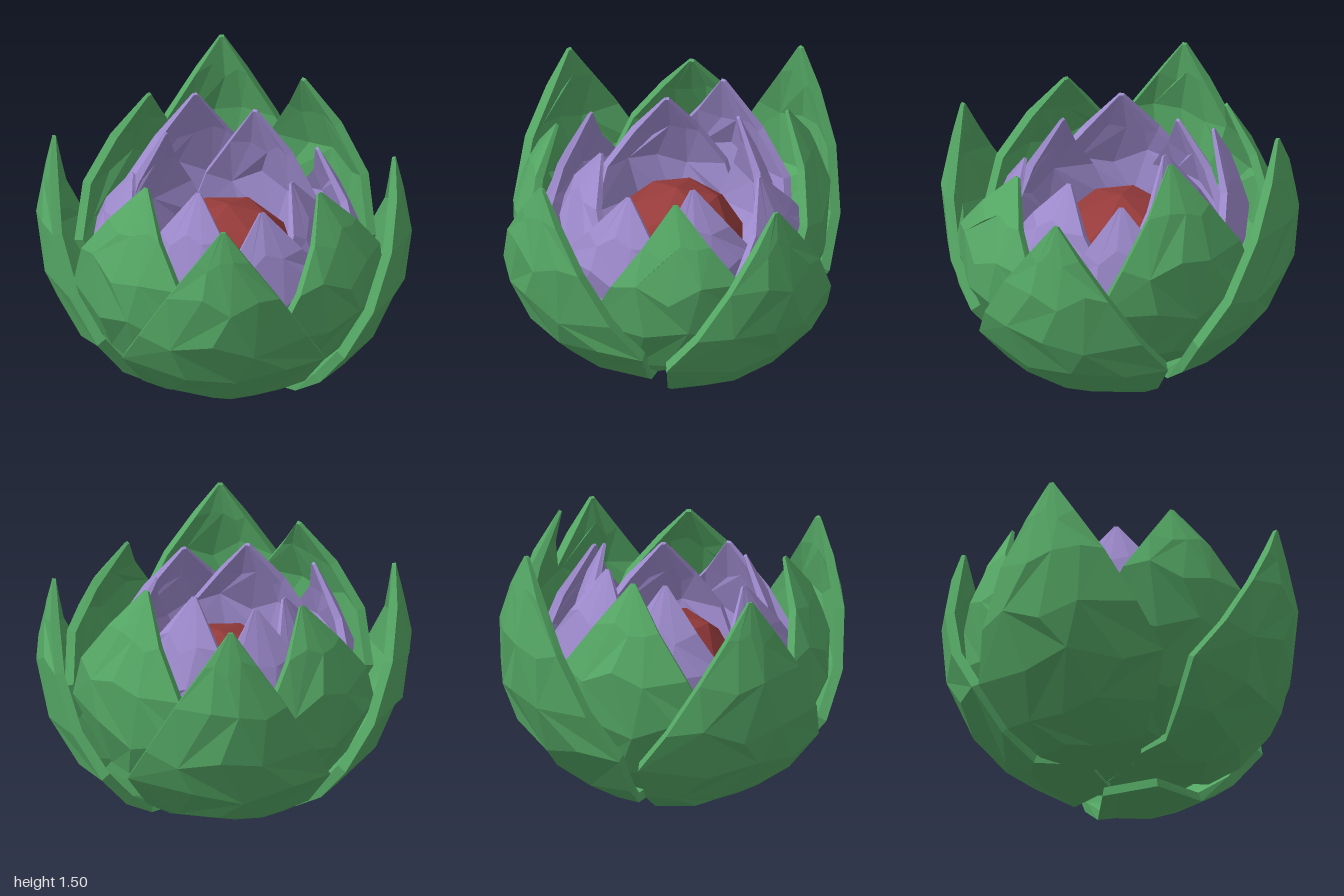
import * as THREE from 'three';

const material = (color) => new THREE.MeshStandardMaterial({ color, flatShading: true });

// Cross-sections from base to tip: [distance from axis, height, half width, cup depth]
const OUTER = [
  [0.12, 0.06, 0.16, 0], [0.44, 0.05, 0.3, 0.06], [0.65, 0.17, 0.43, 0.14], [0.84, 0.38, 0.54, 0.2],
  [0.95, 0.62, 0.45, 0.16], [0.985, 0.92, 0.3, 0.1], [0.94, 1.17, 0.14, 0.03], [0.9, 1.36, 0.012, 0],
];
const INNER = [
  [0, 0.1, 0.14, 0], [0.44, 0.14, 0.24, 0.05], [0.7, 0.34, 0.34, 0.09],
  [0.84, 0.62, 0.47, 0.15], [0.86, 0.9, 0.35, 0.1], [0.77, 1.14, 0.18, 0.04], [0.63, 1.36, 0.012, 0],
];
const HEART_OUTER = [
  [0.05, 0.2, 0.14, 0], [0.46, 0.27, 0.32, 0.1], [0.66, 0.52, 0.46, 0.17],
  [0.71, 0.8, 0.38, 0.12], [0.64, 1.04, 0.2, 0.04], [0.52, 1.3, 0.012, 0],
];
const HEART_INNER = [
  [0.05, 0.25, 0.14, 0], [0.4, 0.33, 0.3, 0.1], [0.55, 0.56, 0.4, 0.17],
  [0.58, 0.82, 0.33, 0.12], [0.5, 1.06, 0.18, 0.04], [0.38, 1.3, 0.012, 0],
];

// Thick cupped petal facing +z: each section is a closed loop, outer skin then inner skin
function petalGeometry(sections, thickness, phase) {
  const columns = [-1, -0.5, 0, 0.5, 1];
  const loop = columns.length * 2;
  const last = sections.length - 1;
  const positions = [];
  const index = [];
  sections.forEach(([r, y, w, cup], i) => {
    const a = sections[Math.max(i - 1, 0)];
    const b = sections[Math.min(i + 1, last)];
    const tangent = new THREE.Vector2(b[0] - a[0], b[1] - a[1]).normalize();
    const addPoint = (column, narrow, t) => {
      // middle columns zigzag and slide along the surface for uneven facets
      const middle = i > 0 && i < last && Math.abs(column) < 1;
      const u = middle ? column + (i % 2 ? 0.13 : -0.13) : column;
      const slide = middle ? 0.05 * Math.sin(i * 2.3 + column * 5 + phase) : 0;
      positions.push(
        w * u * narrow,
        y + cup * u * u * 0.15 + tangent.y * slide + tangent.x * t,
        r - cup * u * u + tangent.x * slide - tangent.y * t,
      );
    };
    for (const c of columns) addPoint(c, 1, 0);
    for (const c of [...columns].reverse()) addPoint(c, 0.95, i === last ? thickness * 0.4 : thickness);
  });
  for (let i = 0; i < last; i++) {
    for (let j = 0; j < loop; j++) {
      const k = (j + 1) % loop;
      const [p, q, s, v] = [i * loop + j, i * loop + k, (i + 1) * loop + k, (i + 1) * loop + j];
      // alternate the diagonals
      if ((i + j) % 2) index.push(p, q, s, p, s, v);
      else index.push(p, q, v, q, s, v);
    }
  }
  // close base and tip
  const top = last * loop;
  for (let j = 1; j < loop - 1; j++) {
    index.push(0, j + 1, j, top, top + j, top + j + 1);
  }
  const geometry = new THREE.BufferGeometry();
  geometry.setAttribute('position', new THREE.Float32BufferAttribute(positions, 3));
  geometry.setIndex(index);
  const flat = geometry.toNonIndexed();
  flat.computeVertexNormals();
  return flat;
}

// Ring of petals, each given as [angle in degrees, reach, tip height, drop of the base]
function petalRing(name, petalName, sections, thickness, mat, petals) {
  const ring = new THREE.Group();
  ring.name = name;
  for (const [angle, reach, tip, drop] of petals) {
    const y0 = sections[0][1];
    const stretch = (tip - y0 + drop) / (sections[sections.length - 1][1] - y0);
    const shaped = sections.map(([r, y, w, c]) => [r * reach, y0 - drop + (y - y0) * stretch, w, c]);
    const petal = new THREE.Mesh(petalGeometry(shaped, thickness, angle), mat);
    petal.name = petalName;
    petal.rotation.y = THREE.MathUtils.degToRad(angle);
    ring.add(petal);
  }
  return ring;
}

export function createModel() {
  const flower = new THREE.Group();
  flower.name = 'flower';
  const green = material(0x55a865);
  const purple = material(0x9f8ccf);

  flower.add(petalRing('outerPetals', 'outerPetal', OUTER, 0.05, green, [
    [-1, 0.995, 1.33, 0], [88, 1.015, 1.28, 0.05], [180, 1.005, 1.49, 0], [-93, 1.015, 1.38, 0.01],
  ]));
  flower.add(petalRing('innerPetals', 'innerPetal', INNER, 0.045, green, [
    [52, 1.02, 1.28, 0.03], [136, 0.99, 1.49, 0.02], [-140, 0.98, 1.39, 0.03], [-43, 0.98, 1.35, 0.04],
  ]));

  // two staggered rings of purple petals
  flower.add(petalRing('purpleOuterPetals', 'purplePetal', HEART_OUTER, 0.04, purple, [
    [23, 0.97, 1.2, 0], [111, 1.04, 1.21, 0], [-163, 0.98, 1.38, 0], [-72, 0.99, 1.27, 0],
  ]));
  flower.add(petalRing('purpleInnerPetals', 'purplePetal', HEART_INNER, 0.04, purple, [
    [67, 1.03, 1.2, 0], [152, 0.97, 1.37, 0], [-126, 1.02, 1.29, 0], [-21, 1.05, 1.27, 0],
  ]));

  // faceted centre
  const core = new THREE.Mesh(new THREE.IcosahedronGeometry(0.37, 1), material(0x973b3b));
  core.name = 'core';
  core.position.set(0.02, 0.6, -0.02);
  flower.add(core);
  return flower;
}
